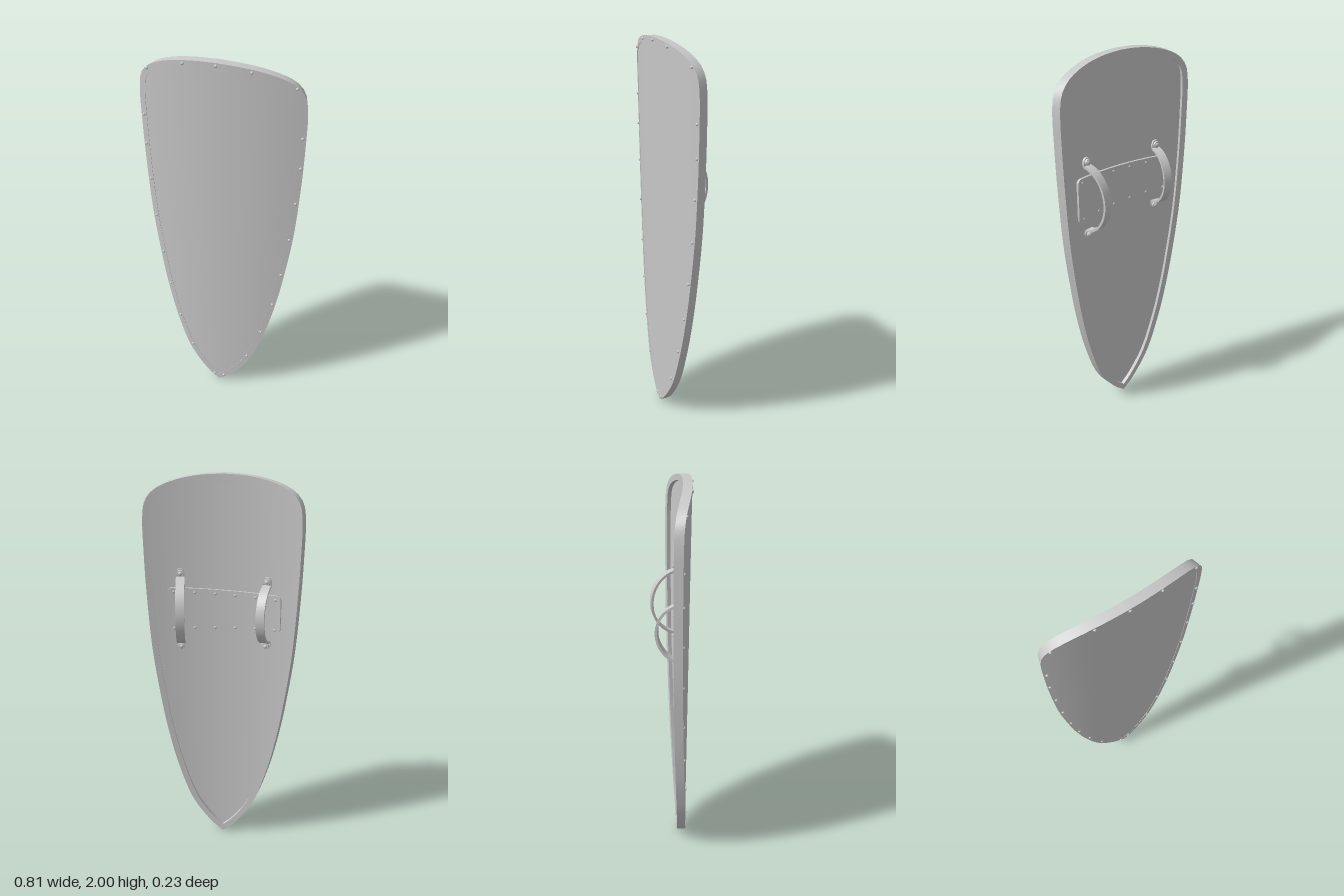
import * as THREE from 'three';
import { toCreasedNormals } from 'three/addons/utils/BufferGeometryUtils.js';

const RIM_DEPTH = 0.045, RIM_WIDTH = 0.03, PANEL_BACK = 0.025, GRIP_Y = 1.31;

// Curved front surface; d is the distance behind it
const slope = x => -0.106 - 0.75 * x;
function bend(x, y, d) {
  const s = slope(x), n = Math.hypot(s, 1);
  const z = 0.042 - 0.106 * x + 0.06 * (1 - (x / 0.4) ** 2) - 0.01 * (2 - y);
  return [x + (s / n) * d, y, z - d / n];
}

// Surface from sections: fn(i, j) gives a point, i across a section, j along
function grid(fn, ni, nj, crease = 0.6) {
  const pos = [], index = [];
  for (let j = 0; j <= nj; j++) for (let i = 0; i <= ni; i++) pos.push(...fn(i, j));
  for (let j = 0; j < nj; j++) for (let i = 0; i < ni; i++) {
    const a = j * (ni + 1) + i, b = a + 1, c = a + ni + 1, d = c + 1;
    index.push(a, b, d, a, d, c);
  }
  const g = new THREE.BufferGeometry();
  g.setAttribute('position', new THREE.Float32BufferAttribute(pos, 3));
  g.setIndex(index);
  return toCreasedNormals(g, crease);
}

// Closed outline, counterclockwise from the tip, and its mitred inset
function outlines() {
  const half = new THREE.CatmullRomCurve3([
    [0, 0], [0.07, 0.06], [0.17, 0.2], [0.25, 0.42], [0.305, 0.65], [0.342, 0.87],
    [0.372, 1.1], [0.39, 1.35], [0.4, 1.6], [0.4, 1.81], [0.386, 1.875], [0.35, 1.92],
    [0.29, 1.953], [0.2, 1.98], [0.1, 1.995], [0, 2],
  ].map(([x, y]) => new THREE.Vector3(x, y, 0)), false, 'centripetal').getSpacedPoints(70)
    .map(p => new THREE.Vector2(p.x, p.y));
  const outer = [...half, ...half.slice(1, -1).reverse().map(p => new THREE.Vector2(-p.x, p.y))];
  const n = outer.length;
  const normal = (a, b) => new THREE.Vector2(b.y - a.y, a.x - b.x).normalize();
  const inner = outer.map((p, k) => {
    const n1 = normal(outer[(k + n - 1) % n], p), n2 = normal(p, outer[(k + 1) % n]);
    const m = n1.clone().add(n2).multiplyScalar(1 / (1 + n1.dot(n2)));
    return p.clone().addScaledVector(m, -RIM_WIDTH);
  });
  return { outer, inner, halfCount: half.length };
}

export function createModel() {
  const metal = new THREE.MeshStandardMaterial({ color: 0xc8c8c8 });
  metal.name = 'pale grey';
  const model = new THREE.Group();
  model.name = 'shield';
  const add = (name, geometry, parent = model) => {
    const mesh = new THREE.Mesh(geometry, metal);
    mesh.name = name;
    parent.add(mesh);
    return mesh;
  };

  const { outer, inner, halfCount } = outlines();

  // Rim: rectangular section swept round the outline
  add('rim', grid((i, j) => {
    const k = j % outer.length;
    const p = (i % 4 < 2 ? outer : inner)[k];
    return bend(p.x, p.y, i === 1 || i === 2 ? RIM_DEPTH : 0);
  }, 4, outer.length));

  // Panel: front and back skins spanning the inset outline
  const across = 24;
  const skin = (side, d) => grid((i, j) => {
    const p = inner[j];
    return bend(side * p.x * (2 * i / across - 1), p.y, d);
  }, across, halfCount - 1);
  add('panelFront', skin(1, 0.002));
  add('panelBack', skin(-1, PANEL_BACK));

  // Small domed rivets round the front of the rim
  const dome = new THREE.SphereGeometry(0.008, 10, 6);
  const rivet = (name, x, y, d) => add(name, dome).position.set(...bend(x, y, d));
  rivet('rimRivet', 0, 1.985, 0);
  for (const [x, y] of [[0.027, 0.037], [0.16, 0.23], [0.233, 0.43], [0.287, 0.64], [0.323, 0.85],
    [0.353, 1.08], [0.372, 1.3], [0.385, 1.5], [0.386, 1.66], [0.352, 1.908], [0.16, 1.973]])
    for (const side of [-1, 1]) rivet('rimRivet', side * x, y, 0);

  // Forearm pad: thin curved plate with rounded corners, slightly tapered
  const x0 = -0.3, x1 = 0.29, steps = 30, padBack = PANEL_BACK + 0.012;
  const padHalf = x => 0.1 + 0.02 * (x - x0) / (x1 - x0);
  add('forearmPad', grid((i, j) => {
    const k = Math.min(Math.max(j - 1, 0), steps);
    const x = x0 + (x1 - x0) * (0.5 - 0.5 * Math.cos(Math.PI * k / steps));
    const e = Math.min(x - x0, x1 - x, 0.025);
    const corner = 0.025 - Math.sqrt(Math.max(0, 0.025 ** 2 - (0.025 - e) ** 2));
    const h = j === 0 || j === steps + 2 ? 0 : padHalf(x) - corner;
    const c = i % 4;
    return bend(x, GRIP_Y + (c < 2 ? h : -h), c === 0 || c === 3 ? padBack : PANEL_BACK - 0.002);
  }, 4, steps + 2));
  for (let k = 0; k < 6; k++) {
    const x = -0.27 + k * 0.106, y = padHalf(x) - 0.022;
    for (const side of [-1, 1]) rivet('padRivet', x, GRIP_Y + side * y, padBack - 0.003);
  }

  // Strap: flat band bowed into a half ellipse, with a riveted foot at each end
  function strap(name, x, reach, depth) {
    const group = new THREE.Group();
    group.name = name;
    group.position.set(...bend(x, GRIP_Y, PANEL_BACK));
    group.rotation.y = -Math.atan(slope(x));
    model.add(group);

    const a = reach - 0.022, r = 0.022, t = 0.012;
    const path = [];
    const foot = [[r, 0.01], [r, 0.25 * r], [0.92 * r, 0.5 * r], [0.7 * r, 0.75 * r], [0, r], [-0.6 * r, r]];
    foot[0][1] = 0;
    for (const [o, w] of foot) path.push({ y: -reach - o, d: 0.006, w, ny: 0, nd: 1 });
    for (let k = 1; k < 28; k++) {
      const q = Math.PI * k / 28, c = Math.cos(q), s = Math.sin(q);
      const n = Math.hypot(c / a, s / depth);
      path.push({ y: -a * c, d: Math.max(depth * s - t / 2, 0.006), w: r, ny: -c / a / n, nd: s / depth / n });
    }
    for (const [o, w] of foot.slice().reverse()) path.push({ y: reach + o, d: 0.006, w, ny: 0, nd: 1 });

    add('band', grid((i, j) => {
      const p = path[j], c = i % 4;
      const o = c === 0 || c === 3 ? t / 2 : -t / 2;
      return [c < 2 ? -p.w : p.w, p.y + p.ny * o, -(p.d + p.nd * o)];
    }, 4, path.length - 1, 0.8), group);

    for (const side of [-1, 1]) {
      const boss = add('strapBoss', new THREE.CylinderGeometry(0.016, 0.018, 0.012, 16), group);
      boss.rotation.x = -Math.PI / 2;
      boss.position.set(0, side * reach, -0.016);
      const head = add('strapRivet', new THREE.SphereGeometry(0.011, 12, 8), group);
      head.scale.z = 0.6;
      head.position.set(0, side * reach, -0.022);
    }
  }
  strap('leftStrap', 0.225, 0.195, 0.145);
  strap('rightStrap', -0.225, 0.17, 0.135);

  return model;
}
